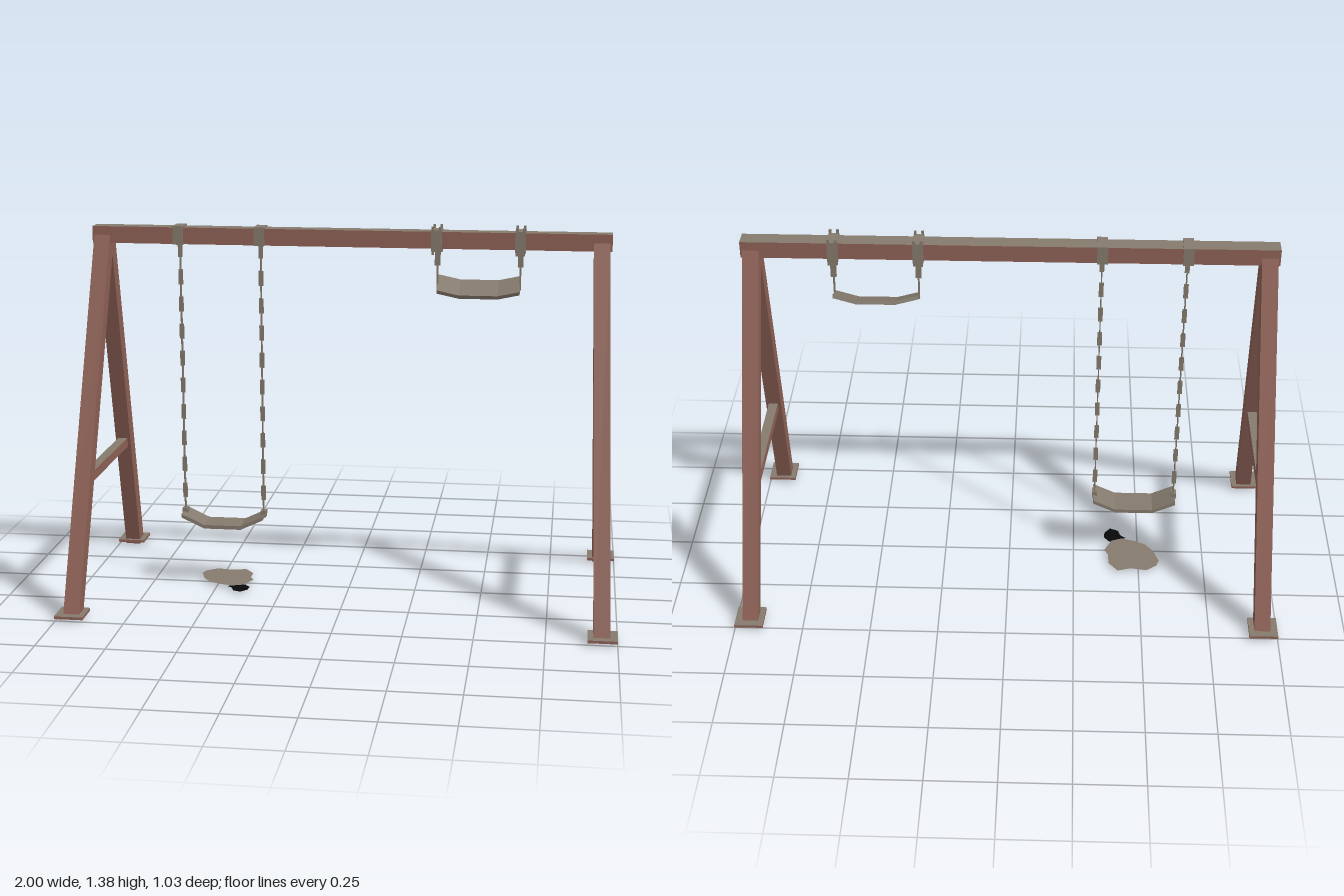
import * as THREE from 'three';

export function createModel() {
  const model = new THREE.Group();
  const red = new THREE.MeshStandardMaterial({ color: 0x8f6257 });
  red.name = 'red wood';
  const grey = new THREE.MeshStandardMaterial({ color: 0x857a6d });
  grey.name = 'weathered grey';
  const greyFlat = new THREE.MeshStandardMaterial({ color: 0x857a6d, side: THREE.DoubleSide });
  greyFlat.name = 'worn ground grey';
  const black = new THREE.MeshStandardMaterial({ color: 0x080808, side: THREE.DoubleSide });
  black.name = 'black';
  // red box with a grey top face
  const greyTop = [red, red, grey, red, red, red];

  const add = (parent, name, geometry, material, x = 0, y = 0, z = 0) => {
    const mesh = new THREE.Mesh(geometry, material);
    mesh.name = name;
    mesh.position.set(x, y, z);
    parent.add(mesh);
    return mesh;
  };
  const box = (parent, name, size, pos, material) =>
    add(parent, name, new THREE.BoxGeometry(...size), material, ...pos);

  // Top beam
  box(model, 'beam', [1.89, 0.061, 0.062], [0, 1.335, 0], greyTop);

  // A-frame at each end
  const up = new THREE.Vector3(0, 1, 0);
  for (const sx of [-1, 1]) {
    const frame = new THREE.Group();
    frame.name = sx > 0 ? 'leftFrame' : 'rightFrame';
    model.add(frame);
    for (const sz of [-1, 1]) {
      const top = new THREE.Vector3(sx * 0.908, 1.325, sz * 0.008);
      const foot = new THREE.Vector3(sx * 0.945, 0.012, sz * 0.458);
      const dir = top.clone().sub(foot);
      const mid = top.clone().add(foot).multiplyScalar(0.5);
      const leg = box(frame, 'leg', [0.058, dir.length(), 0.058], mid.toArray(), red);
      leg.quaternion.setFromUnitVectors(up, dir.normalize());
      box(frame, 'footPlate', [0.105, 0.01, 0.105], [sx * 0.948, 0.019, sz * 0.461], greyTop);
    }
    box(frame, 'crossbar', [0.035, 0.036, 0.58], [sx * 0.932, 0.472, 0], greyTop);
  }

  // Bent seat: a polyline given as half-profile points, thickened and extruded along z
  const seatGeometry = (half, thickness, depth) => {
    const line = [...half.map(([x, y]) => [-x, y]), ...half.slice().reverse()];
    const outline = [...line, ...line.slice().reverse().map(([x, y]) => [x, y + thickness])];
    const shape = new THREE.Shape(outline.map(([x, y]) => new THREE.Vector2(x, y)));
    return new THREE.ExtrudeGeometry(shape, { depth, bevelEnabled: false })
      .translate(0, 0, -depth / 2);
  };

  // Chain of flat links, alternately turned by a quarter
  const chain = (parent, x, z, yLow, count, firstAlongZ) => {
    for (let i = 0; i < count; i++) {
      const alongZ = (i % 2 === 0) === firstAlongZ;
      const size = alongZ ? [0.004, 0.056, 0.017] : [0.017, 0.056, 0.004];
      box(parent, 'chainLink', size, [x, yLow + i * 0.051, z], grey);
    }
  };

  // Hanging swing
  const swing = new THREE.Group();
  swing.name = 'hangingSwing';
  model.add(swing);
  add(swing, 'seat', seatGeometry([[0.155, 0.27], [0.07, 0.23]], 0.014, 0.108),
    grey, -0.475, 0, 0);
  for (const x of [-0.625, -0.325]) {
    box(swing, 'beamBand', [0.038, 0.068, 0.078], [x, 1.337, 0], grey);
    chain(swing, x, 0, 0.312, 20, true);
    box(swing, 'seatClip', [0.02, 0.025, 0.03], [x, 0.283, 0], grey);
  }

  // Swing wound up against the beam
  const wound = new THREE.Group();
  wound.name = 'woundSwing';
  model.add(wound);
  const seat = add(wound, 'seat', seatGeometry([[0.15, 0.008], [0.07, -0.012]], 0.014, 0.11),
    grey, 0.47, 1.152, -0.045);
  seat.rotation.x = 0.4;
  for (const x of [0.32, 0.62]) {
    box(wound, 'beamBand', [0.038, 0.076, 0.074], [x, 1.333, 0], grey);
    for (const sz of [-1, 1]) {
      for (const dx of [-0.013, 0.013]) {
        box(wound, 'bracketPost', [0.009, 0.1, 0.007], [x + dx, 1.334, sz * 0.037], grey);
      }
    }
    box(wound, 'hanger', [0.02, 0.06, 0.012], [x, 1.265, -0.03], grey);
    box(wound, 'hangerRod', [0.006, 0.09, 0.01], [x, 1.195, -0.03], grey);
  }

  // Worn patch and dark spot on the ground
  const patch = (name, points, y, material) => {
    const shape = new THREE.Shape(points.map(([x, z]) => new THREE.Vector2(x, -z)));
    add(model, name, new THREE.ShapeGeometry(shape).rotateX(-Math.PI / 2), material, 0, y, 0);
  };
  patch('groundPatch', [
    [-0.58, -0.07], [-0.57, -0.1], [-0.53, -0.13], [-0.47, -0.12], [-0.42, -0.135],
    [-0.385, -0.09], [-0.385, -0.04], [-0.37, -0.01], [-0.4, 0.05], [-0.44, 0.065],
    [-0.49, 0.05], [-0.53, 0.03], [-0.56, -0.01],
  ], 0.012, greyFlat);
  patch('darkSpot', [
    [-0.455, 0.07], [-0.43, 0.05], [-0.39, 0.045], [-0.37, 0.07], [-0.372, 0.1],
    [-0.395, 0.128], [-0.425, 0.115], [-0.435, 0.085],
  ], 0.011, black);

  return model;
}
